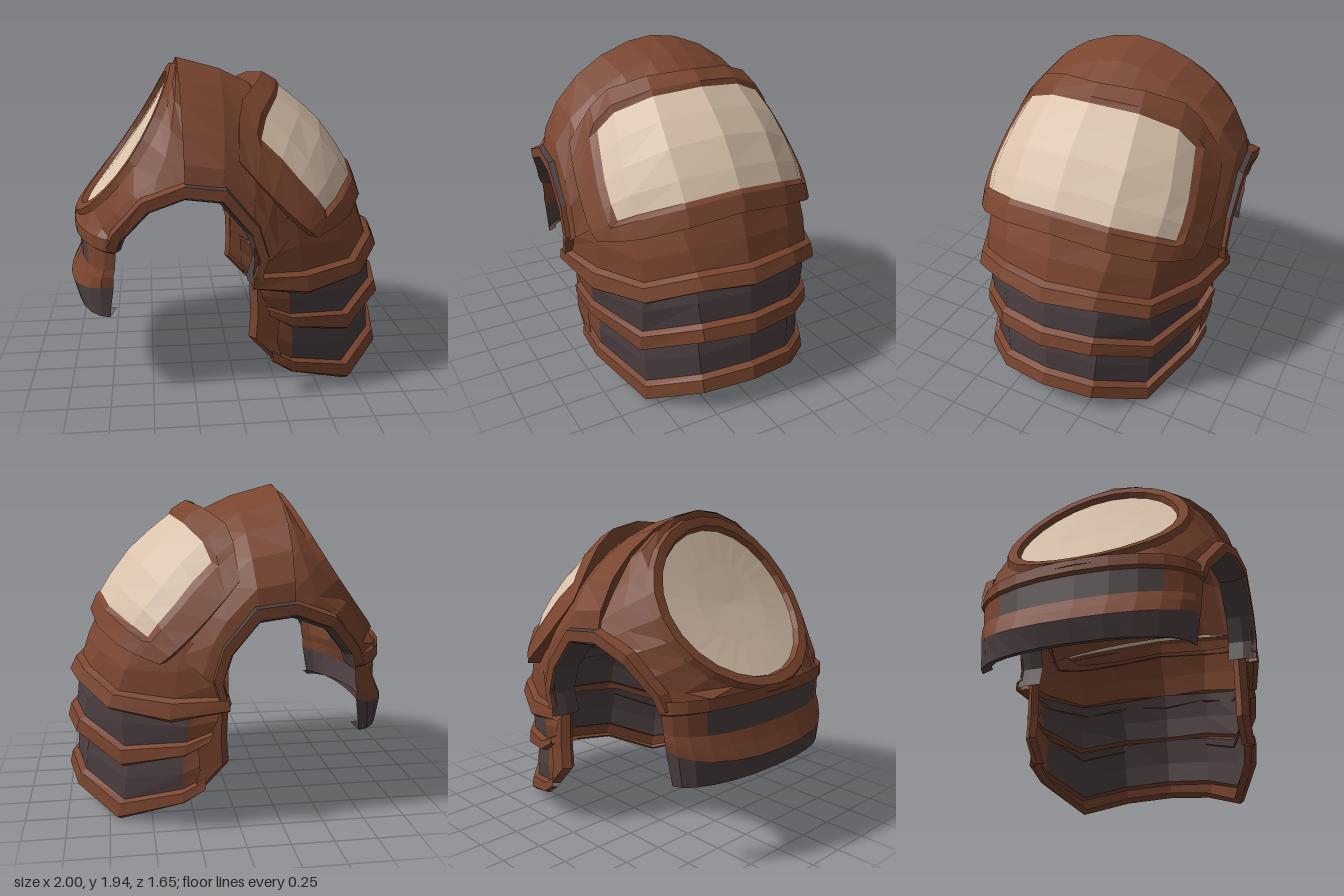
import * as THREE from 'three';

const material = (name, color) => {
  const m = new THREE.MeshStandardMaterial({ color, flatShading: true, side: THREE.DoubleSide });
  m.name = name;
  return m;
};

const lerp = (a, b, f) => a.map((v, k) => v + (b[k] - v) * f);
const lerpRow = (a, b, f) => a.map((p, j) => lerp(p, b[j], f));
const flip = ([x, y, z]) => [x, y, -z];
// Half row (centre to +z edge) to a full row across z
const across = half => [...half.slice(1).reverse().map(flip), ...half];
// Move a point away from a centre
const push = (p, c, d) => {
  const v = p.map((a, k) => a - c[k]);
  const l = Math.hypot(...v) || 1;
  return p.map((a, k) => a + v[k] / l * d);
};
// Sample a polyline of points at 0..1
const sample = (row, t) => {
  const s = t * (row.length - 1), i = Math.min(Math.floor(s), row.length - 2);
  return lerp(row[i], row[i + 1], s - i);
};

export function createModel() {
  const group = new THREE.Group();
  const mats = [material('brown leather', 0x7a452f), material('dark leather', 0x4d3f41), material('pale hide', 0xd9c2ab)];

  // Sheet through rows of points; pick(i, j) chooses the colour of a cell
  function skin(name, rows, pick = () => 0) {
    const parts = mats.map(() => []);
    for (let i = 0; i < rows.length - 1; i++) {
      for (let j = 0; j < rows[i].length - 1; j++) {
        const a = rows[i][j], b = rows[i + 1][j], c = rows[i + 1][j + 1], d = rows[i][j + 1];
        parts[pick(i, j)].push(...a, ...b, ...c, ...a, ...c, ...d);
      }
    }
    const geo = new THREE.BufferGeometry();
    geo.setAttribute('position', new THREE.Float32BufferAttribute(parts.flat(), 3));
    let start = 0;
    parts.forEach((p, k) => {
      if (p.length) geo.addGroup(start, p.length / 3, k);
      start += p.length / 3;
    });
    geo.computeVertexNormals();
    const mesh = new THREE.Mesh(geo, mats);
    mesh.name = name;
    group.add(mesh);
  }

  // Arched row from a crown point to mirrored edge points
  const arch = (cx, cy, ex, ey, ez, power = 0.9) => {
    const half = [];
    for (let k = 0; k <= 6; k++) {
      const t = k / 6 * Math.PI / 2, c = Math.cos(t);
      half.push([ex + (cx - ex) * c, ey + (cy - ey) * c, ez * Math.sin(t) ** power]);
    }
    return across(half);
  };

  // Saddle between the ridge and the shoulder panel
  skin('saddle', [
    arch(-0.31, 1.95, -0.3, 1.27, 0.77, 1.15),
    arch(-0.05, 1.88, -0.1, 1.25, 0.79, 1.3),
    arch(0.14, 1.79, 0.06, 1.05, 0.8, 1.3),
    arch(0.32, 1.6, 0.1, 0.95, 0.8, 1.15),
    arch(0.56, 1.22, 0.1, 0.84, 0.8, 1),
  ]);

  // Points on the tilted, saddle-shaped round rim
  const rimPoint = (phi, r, off) => {
    const u = r * 0.95 * Math.cos(phi), s = Math.sin(phi) * r / 0.6, n = off - 0.07 * s * s;
    return [-0.645 + 0.57 * u - 0.82 * n, 1.465 + 0.82 * u + 0.57 * n, r * Math.sin(phi)];
  };
  const loop = (r, off) => Array.from({ length: 25 }, (_, k) => rimPoint((k - 12) / 12 * Math.PI, r, off));
  skin('roundRim', [loop(0.49, -0.05), loop(0.51, 0), loop(0.57, 0.01), loop(0.61, -0.06)]);
  skin('roundDisc', [loop(0, -0.07), loop(0.26, -0.055), loop(0.5, -0.035)], () => 2);

  // Shell from the round rim out to ridge, arch and tail
  const shellEdge = across([
    [-0.31, 1.95, 0], [-0.3, 1.91, 0.2], [-0.3, 1.83, 0.36], [-0.29, 1.71, 0.51], [-0.29, 1.53, 0.64],
    [-0.29, 1.38, 0.73], [-0.32, 1.27, 0.77], [-0.48, 1.21, 0.76], [-0.6, 1.1, 0.72], [-0.68, 0.97, 0.67],
    [-0.815, 0.97, 0.59], [-0.914, 0.98, 0.36], [-0.95, 0.99, 0]]);
  const shellInner = loop(0.58, -0.02);
  const shellMid = lerpRow(shellInner, shellEdge, 0.5).map(p => push(p, [-0.2, 1.1, 0], 0.02));
  skin('shell', [shellInner, shellMid, shellEdge]);

  // Tail strap below the round rim
  skin('tail', [
    arch(-0.96, 1.03, -0.68, 1.0, 0.67),
    arch(-0.96, 0.96, -0.69, 0.93, 0.67),
    arch(-0.93, 0.95, -0.69, 0.92, 0.66),
    arch(-0.93, 0.8, -0.7, 0.82, 0.65),
    arch(-0.96, 0.73, -0.71, 0.78, 0.65),
    arch(-1.0, 0.65, -0.71, 0.72, 0.64),
    arch(-0.96, 0.53, -0.74, 0.52, 0.62),
    arch(-0.89, 0.55, -0.7, 0.56, 0.58),
  ], (i, j) => (i >= 5 || (i === 2 && j > 2 && j < 9) ? 1 : 0));

  // Raised rim and dark lining round each arm opening
  const opening = [[-0.69, 0.93, 0.66], [-0.66, 1.01, 0.68], [-0.51, 1.19, 0.76], [-0.3, 1.27, 0.78],
    [-0.1, 1.25, 0.8], [0.06, 1.06, 0.8], [0.11, 0.9, 0.8], [0.07, 0.76, 0.8]];
  const around = (s, dz) => opening.map(([x, y, z]) => [-0.28 + (x + 0.28) * s, 0.75 + (y - 0.75) * s, z + dz]);
  for (const side of [1, -1]) {
    const place = row => (side > 0 ? row : row.map(flip));
    skin('openingRim', [around(0.98, -0.04), around(1, 0.01), around(1.12, 0.01), around(1.15, -0.05)].map(place),
      (i, j) => (i === 2 && (j === 3 || j === 4) ? 1 : 0));
    skin('openingLining', [around(0.99, 0), around(0.94, -0.07), around(0.95, -0.16)].map(place), () => 1);
  }

  // Shoulder panel: pale hide within a raised frame
  const panelGrid = [
    [[0.22, 1.82, 0], [0.14, 1.79, 0.28], [0.02, 1.7, 0.49], [0, 1.43, 0.67]],
    [[0.37, 1.74, 0], [0.31, 1.7, 0.32], [0.21, 1.59, 0.54], [0.13, 1.28, 0.7]],
    [[0.58, 1.55, 0], [0.52, 1.5, 0.35], [0.39, 1.37, 0.59], [0.25, 1.16, 0.71]],
    [[0.74, 1.34, 0], [0.68, 1.3, 0.35], [0.53, 1.21, 0.6], [0.36, 1.06, 0.72]],
    [[0.81, 1.18, 0], [0.76, 1.13, 0.35], [0.63, 1.06, 0.58], [0.43, 1.0, 0.7]],
  ].map(across);
  const us = [[0, -0.06], [0, 0.035], [0.14, 0.03], [0.18, 0.005], [0.35, 0.01], [0.5, 0.01], [0.68, 0.01],
    [0.82, 0], [0.86, 0.025], [1, 0.025], [1, -0.06]];
  const vs = [[0, -0.06], [0, 0.035], [0.09, 0.03], [0.12, 0], [0.2, 0], [0.35, 0.01], [0.5, 0.01],
    [0.65, 0.01], [0.8, 0], [0.88, 0], [0.91, 0.03], [1, 0.035], [1, -0.06]];
  skin('shoulderPanel', us.map(([u, du]) => vs.map(([v, dv]) => {
    const edge = Math.min(du, dv) < 0 ? Math.min(du, dv) : Math.max(du, dv);
    return push(sample(panelGrid.map(row => sample(row, v)), u), [0, 0.95, 0], edge);
  })), (i, j) => (i > 2 && i < 7 && j > 2 && j < 9 ? 2 : 0));

  // Overlapping lames, each with a thick lower lip
  function lame(name, top, bottom, dark) {
    const t = across(top), b = across(bottom);
    const steps = [[0, 0], [0.4, 0], [0.72, -0.02], [0.76, 0.015], [0.95, 0.015], [1, -0.02], [0.93, -0.06]];
    const rows = steps.map(([f, d]) => lerpRow(t, b, f).map(p => push(p, [0.1, p[1], 0], d)));
    skin(name, rows, (i, j) => (dark && i < 2 && j > 0 && j < t.length - 2 ? 1 : 0));
  }
  lame('upperLame',
    [[0.77, 1.2, 0], [0.71, 1.15, 0.35], [0.57, 1.09, 0.56], [0.32, 1.14, 0.68], [0.08, 1.04, 0.79]],
    [[0.97, 0.78, 0], [0.91, 0.79, 0.3], [0.74, 0.7, 0.57], [0.4, 0.66, 0.74], [0.07, 0.73, 0.81]], false);
  lame('middleLame',
    [[0.88, 0.9, 0], [0.82, 0.86, 0.32], [0.66, 0.79, 0.55], [0.28, 0.75, 0.72], [0.1, 0.75, 0.74]],
    [[0.99, 0.47, 0], [0.93, 0.47, 0.3], [0.67, 0.35, 0.58], [0.32, 0.45, 0.73], [0.18, 0.54, 0.76]], true);
  lame('lowerLame',
    [[0.9, 0.56, 0], [0.84, 0.53, 0.31], [0.62, 0.43, 0.54], [0.32, 0.46, 0.68], [0.18, 0.52, 0.7]],
    [[0.99, 0.15, 0], [0.93, 0.12, 0.3], [0.7, 0.01, 0.56], [0.33, 0.15, 0.71], [0.2, 0.24, 0.74]], true);

  // Straps holding the front and back ends of the lames
  const strap = [[0.06, 0.27, 0.78], [0.07, 0.24, 0.55], [0.06, 0.23, 0.4], [0.19, 0.27, 0.26]];
  for (const s of [1, -1]) {
    skin('endStrap', strap.map(([x0, x1, y]) => [
      [x0 + 0.03, y, 0.66 * s], [x0, y, 0.7 * s], [x0 + 0.04, y, 0.74 * s], [x1, y - 0.04, 0.72 * s]]));
  }
  return group;
}
